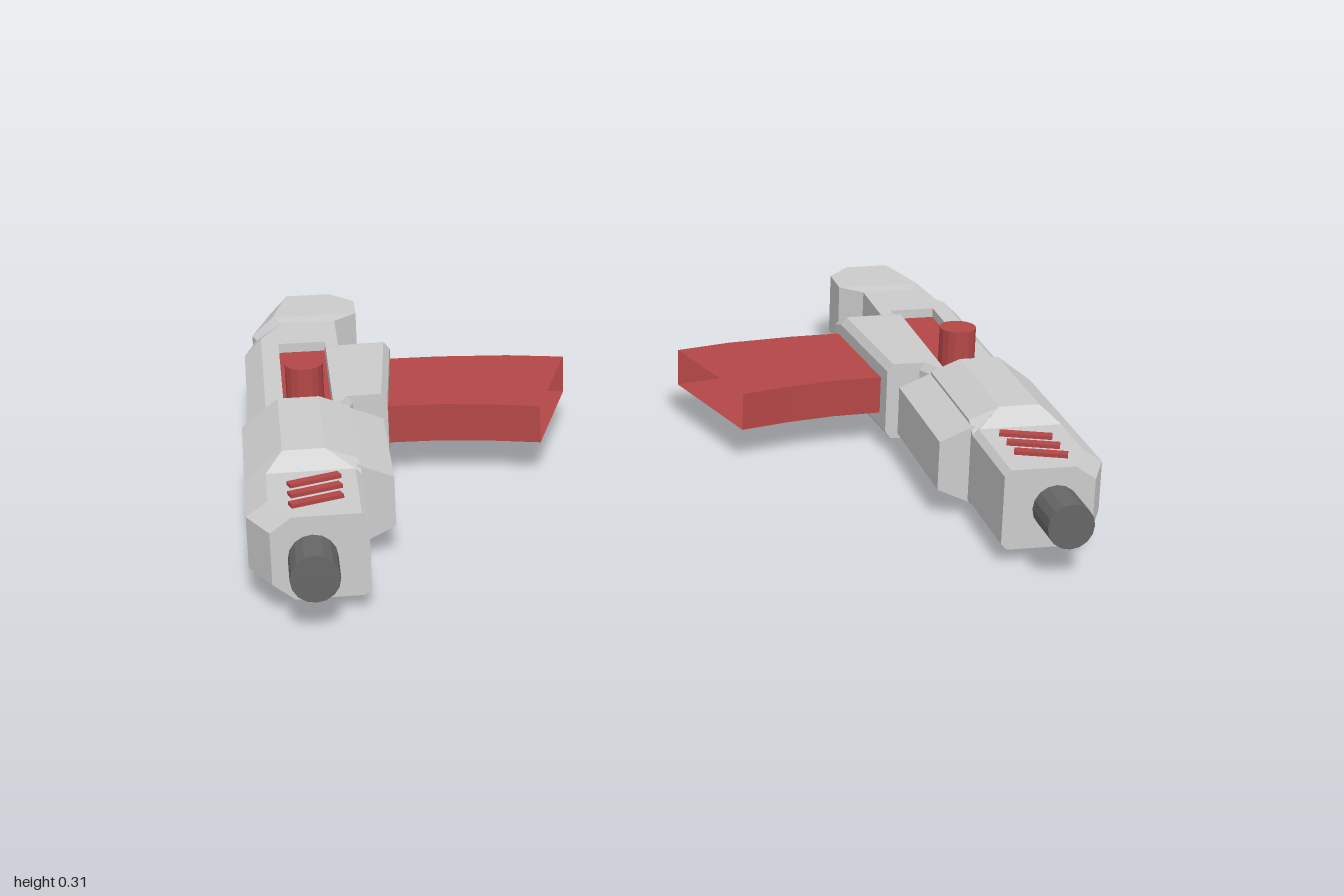
import * as THREE from 'three';

const mat = (color, side = THREE.FrontSide) =>
  new THREE.MeshStandardMaterial({ color, flatShading: true, side });
const grey = mat(0xcccccc);
const red = mat(0xb44646);
const redOpen = mat(0xb44646, THREE.DoubleSide);
const dark = mat(0x666666);

// Skin counter-clockwise rings of [x, y, z] points, ordered along the part
function loft(rings, capped = true) {
  const n = rings[0].length, index = [];
  for (let r = 0; r < rings.length - 1; r++) {
    for (let i = 0; i < n; i++) {
      const j = (i + 1) % n, a = r * n, b = a + n;
      index.push(a + i, a + j, b + j, a + i, b + j, b + i);
    }
  }
  if (capped) {
    const e = (rings.length - 1) * n;
    for (let i = 1; i < n - 1; i++) index.push(0, i + 1, i, e, e + i, e + i + 1);
  }
  const g = new THREE.BufferGeometry();
  g.setAttribute('position', new THREE.Float32BufferAttribute(rings.flat(2), 3));
  g.setIndex(index);
  return g.toNonIndexed();
}

const at = (points, z) => points.map(([x, y]) => [x, y, z]);

function box(x0, x1, y0, y1, z0, z1) {
  return new THREE.BoxGeometry(x1 - x0, y1 - y0, z1 - z0)
    .translate((x0 + x1) / 2, (y0 + y1) / 2, (z0 + z1) / 2);
}

// Mirror a geometry across x = 0, keeping its faces outward
function mirrored(geometry) {
  const g = geometry.index ? geometry.toNonIndexed() : geometry;
  const p = g.attributes.position;
  const flipped = [];
  for (let i = 0; i < p.count; i += 3) {
    for (const k of [i, i + 2, i + 1]) flipped.push(-p.getX(k), p.getY(k), p.getZ(k));
  }
  const out = new THREE.BufferGeometry();
  out.setAttribute('position', new THREE.Float32BufferAttribute(flipped, 3));
  return out;
}

// Receiver and stock section: inner wall, bevel start, outer wall
const bodyRing = (z, xi, xb, xo, yb = 0.06, yt = 0.215) =>
  at([[xi, yb], [xb, yb], [xo, 0.1], [xo, 0.17], [xb, yt], [xi, yt]], z);

// Magazine well section with chamfered inner edges
const wellRing = (z, xi, yb = 0.035, yt = 0.24) => at([
  [0.775, yb], [0.775, yt], [xi + 0.015, yt], [xi, yt - 0.02], [xi, yb + 0.02], [xi + 0.015, yb],
], z);

function gunParts() {
  const parts = [];
  const add = (name, geometry, material) => parts.push({ name, geometry, material });

  // Handguard: tall faceted section dropping to a tapered nose
  const tall = [[0.735, 0.03], [0.81, 0], [0.91, 0], [1, 0.075], [1, 0.2], [0.91, 0.27], [0.81, 0.27], [0.735, 0.24]];
  const low = [[0.73, 0.05], [0.745, 0.035], [0.95, 0.035], [1, 0.075], [1, 0.2], [0.95, 0.235], [0.745, 0.235], [0.73, 0.22]];
  const nose = [[0.73, 0.05], [0.745, 0.035], [0.9, 0.035], [0.95, 0.075], [0.95, 0.2], [0.9, 0.235], [0.745, 0.235], [0.73, 0.22]];
  add('handguard', loft([at(tall, 0.08), at(tall, 0.42), at(low, 0.47), at(low, 0.63), at(nose, 0.73)]), grey);
  const grip = [[0.655, 0.075], [0.74, 0.035], [0.74, 0.235], [0.655, 0.2]];
  add('handguardRail', loft([at(grip, 0.075), at(grip, 0.45)]), grey);

  // Slanted vents above and below the nose
  for (const y of [0.235, 0.037]) {
    for (let i = 0; i < 3; i++) {
      add('vent', new THREE.BoxGeometry(0.125, 0.018, 0.024).rotateY(-0.35)
        .translate(0.842, y, 0.532 + i * 0.058), red);
    }
  }

  // Muzzle and the core joining the two halves
  add('muzzle', new THREE.CylinderGeometry(0.056, 0.056, 0.125, 16).rotateX(Math.PI / 2)
    .translate(0.857, 0.135, 0.7825), dark);
  add('core', box(0.73, 0.94, 0.075, 0.2, 0.02, 0.1), red);

  // Receiver: solid front, channelled middle, then stock
  add('receiverFront', loft([bodyRing(0.005, 0.74, 0.94, 0.985), bodyRing(0.045, 0.74, 0.94, 0.985)]), grey);
  const section = new THREE.Shape([
    [0.74, 0.06], [0.94, 0.06], [0.985, 0.1], [0.985, 0.17], [0.94, 0.215],
    [0.895, 0.215], [0.895, 0.18], [0.775, 0.18], [0.775, 0.215], [0.74, 0.215],
  ].map(([x, y]) => new THREE.Vector2(x, y)));
  add('receiver', new THREE.ExtrudeGeometry(section, { depth: 0.475, bevelEnabled: false })
    .translate(0, 0, -0.47), grey);
  add('stock', loft([
    bodyRing(-0.85, 0.745, 0.86, 0.91, 0.055, 0.22),
    bodyRing(-0.78, 0.68, 0.88, 0.93, 0.055, 0.22),
    bodyRing(-0.675, 0.68, 0.905, 0.962, 0.055, 0.22),
    bodyRing(-0.635, 0.74, 0.88, 0.952),
    bodyRing(-0.515, 0.74, 0.94, 0.985),
    bodyRing(-0.47, 0.74, 0.94, 0.985),
  ]), grey);

  // Bolt strip and its upright handle
  add('boltStrip', box(0.775, 0.895, 0.17, 0.19, -0.47, 0.005), red);
  add('boltBase', box(0.777, 0.893, 0.18, 0.205, -0.11, 0.005), red);
  add('boltHandle', new THREE.CylinderGeometry(0.047, 0.047, 0.12, 16).translate(0.84, 0.25, -0.05), red);

  // Magazine well on the inner side
  add('magazineWell', loft([
    wellRing(-0.41, 0.605, 0.05, 0.225), wellRing(-0.365, 0.609),
    wellRing(0.01, 0.64), wellRing(0.012, 0.725), wellRing(0.06, 0.75),
  ]), grey);

  // Curved open-ended magazine: rear and front edge points as [x, z], tip first
  const curve = [
    [[0.155, -0.325], [0.26, 0.025]], [[0.3, -0.36], [0.385, -0.008]], [[0.48, -0.38], [0.51, -0.03]],
    [[0.61, -0.384], [0.63, -0.036]], [[0.66, -0.385], [0.66, -0.037]],
  ];
  add('magazine', loft(curve.map(([a, b]) => [
    [a[0], 0.09, a[1]], [a[0], 0.188, a[1]], [b[0], 0.188, b[1]], [b[0], 0.09, b[1]],
  ]), false), redOpen);
  return parts;
}

export function createModel() {
  const model = new THREE.Group();
  const left = new THREE.Group(), right = new THREE.Group();
  left.name = 'leftBlaster';
  right.name = 'rightBlaster';
  for (const { name, geometry, material } of gunParts()) {
    for (const [group, g] of [[left, geometry], [right, mirrored(geometry)]]) {
      g.computeVertexNormals();
      const mesh = new THREE.Mesh(g, material);
      mesh.name = name;
      group.add(mesh);
    }
  }
  model.add(left, right);
  return model;
}
